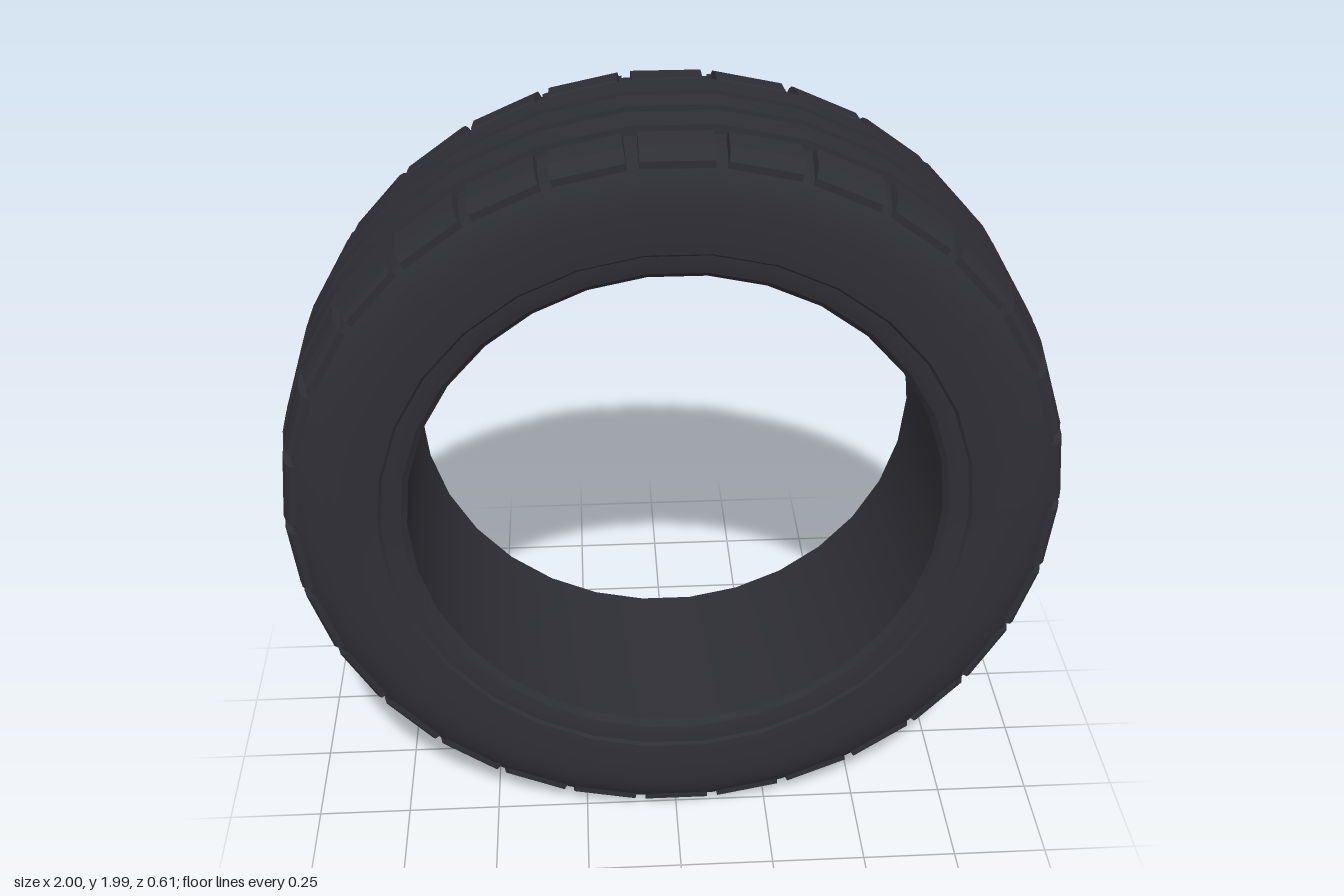
import * as THREE from 'three';
import { toCreasedNormals } from 'three/addons/utils/BufferGeometryUtils.js';

const SIDES = 30;
const STEP = (Math.PI * 2) / SIDES;
const FLAT = Math.cos(STEP / 2); // distance to the middle of a facet, per unit radius

export function createModel() {
  const rubber = new THREE.MeshStandardMaterial({ color: 0x2e2e35 });
  rubber.name = 'dark rubber';
  const white = new THREE.MeshStandardMaterial({ color: 0xc6c6c0 });
  white.name = 'whitewall';

  const tyre = new THREE.Group();
  tyre.name = 'tyre';
  tyre.position.y = 1;

  // Revolve [radius, z] points about the z axis
  function ring(name, points, material) {
    const profile = points.map(([r, z]) => new THREE.Vector2(r, z));
    const lathe = new THREE.LatheGeometry(profile, SIDES, STEP / 2);
    lathe.rotateX(Math.PI / 2);
    const mesh = new THREE.Mesh(toCreasedNormals(lathe, 0.5), material);
    mesh.name = name;
    tyre.add(mesh);
  }

  // Tread half: sidewall edge to centre rib
  const half = [
    [0.855, 0.305], [0.885, 0.302], [0.915, 0.294], [0.94, 0.282],
    [0.957, 0.268], [0.966, 0.22], [0.973, 0.165], [0.973, 0.148],
    [0.996, 0.145], [0.999, 0.065], [0.978, 0.062], [0.978, 0.038], [1.0, 0.035],
  ];
  const mirrored = half.map(([r, z]) => [r, -z]);
  const sidewall = [[0.855, 0.305], [0.8, 0.306], [0.745, 0.301]];
  const bead = [[0.738, 0.293], [0.715, 0.292], [0.69, 0.285], [0.675, 0.27]];

  ring('treadAndFrontWall', [
    ...mirrored, ...half.slice().reverse(), ...sidewall.slice(1), ...bead,
  ], rubber);
  ring('innerLiner', [
    [0.675, 0.27], ...bead.slice().reverse().map(([r, z]) => [r, -z]), [0.745, -0.301],
  ], rubber);
  ring('whitewallBand', sidewall.slice().reverse().map(([r, z]) => [r, -z]), white);

  // Shoulder blocks, one on each facet of both tread edges
  const section = new THREE.Shape([
    [0.165, 0.94], [0.165, 0.988], [0.17, 0.992], [0.235, 0.985],
    [0.265, 0.975], [0.277, 0.964], [0.277, 0.93],
  ].map(([z, r]) => new THREE.Vector2(z, r * FLAT)));
  const width = 0.172;
  const blockGeometry = new THREE.ExtrudeGeometry(section, { depth: width, bevelEnabled: false });
  blockGeometry.translate(0, 0, -width / 2);
  const blocks = new THREE.Group();
  blocks.name = 'shoulderBlocks';
  for (let i = 0; i < SIDES; i++) {
    for (const side of [-1, 1]) {
      const pivot = new THREE.Group();
      pivot.name = 'shoulderBlockPivot';
      pivot.rotation.z = i * STEP;
      const block = new THREE.Mesh(blockGeometry, rubber);
      block.name = 'shoulderBlock';
      block.rotation.y = (-side * Math.PI) / 2;
      pivot.add(block);
      blocks.add(pivot);
    }
  }
  tyre.add(blocks);

  // Plain raised ribs in two arcs on the back shoulder
  const ribs = new THREE.Group();
  ribs.name = 'backShoulderRibs';
  const ribGeometry = new THREE.BoxGeometry(0.014, 0.06, 0.028);
  for (const base of [0, Math.PI]) {
    for (let i = -10; i <= 10; i++) {
      const angle = base + i * 0.04;
      const rib = new THREE.Mesh(ribGeometry, rubber);
      rib.name = 'shoulderRib';
      rib.position.set(-Math.sin(angle) * 0.92, Math.cos(angle) * 0.92, -0.288);
      rib.rotation.z = angle;
      ribs.add(rib);
    }
  }
  tyre.add(ribs);

  const model = new THREE.Group();
  model.name = 'model';
  model.add(tyre);
  return model;
}
